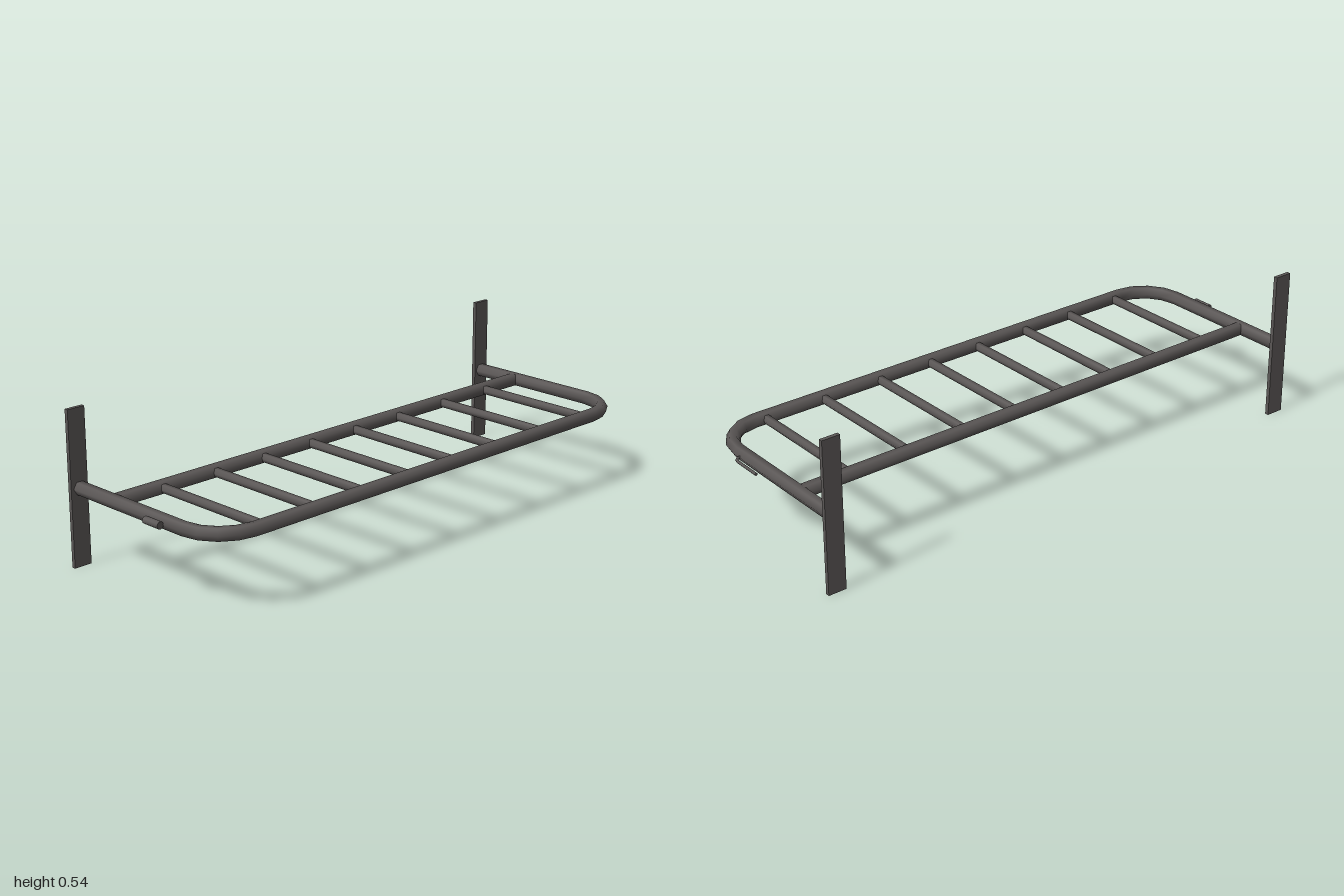
import * as THREE from 'three';

const Y = 0.268; // height of the rack plane

// Sweeps a round section along a flat path of [x, z] points, mitred at the bends
function sweep(path, radius, sides) {
  const pos = [], idx = [];
  const pts = path.map(([x, z]) => new THREE.Vector2(x, z));
  const last = pts.length - 1;
  const dir = (i) => pts[i + 1].clone().sub(pts[i]).normalize();
  pts.forEach((p, i) => {
    const a = dir(Math.max(i - 1, 0)), b = dir(Math.min(i, last - 1));
    const t = a.clone().add(b).normalize();
    const wide = radius / t.dot(a);
    for (let k = 0; k < sides; k++) {
      const ang = (k / sides) * Math.PI * 2;
      const c = Math.cos(ang) * wide;
      pos.push(p.x + t.y * c, Y + Math.sin(ang) * radius, p.y - t.x * c);
    }
  });
  for (let i = 0; i < last; i++) {
    for (let k = 0; k < sides; k++) {
      const n = (k + 1) % sides;
      const a = i * sides + k, b = i * sides + n;
      idx.push(a, b, a + sides, b, b + sides, a + sides);
    }
  }
  // End caps with their own vertices so the rims stay crisp
  for (const end of [0, last]) {
    const base = pos.length / 3;
    for (let k = 0; k < sides; k++) {
      const o = (end * sides + k) * 3;
      pos.push(pos[o], pos[o + 1], pos[o + 2]);
    }
    for (let k = 1; k < sides - 1; k++) {
      if (end) idx.push(base, base + k, base + k + 1);
      else idx.push(base, base + k + 1, base + k);
    }
  }
  const geo = new THREE.BufferGeometry();
  geo.setAttribute('position', new THREE.Float32BufferAttribute(pos, 3));
  geo.setIndex(idx);
  geo.computeVertexNormals();
  return geo;
}

export function createModel() {
  const group = new THREE.Group();
  const steel = new THREE.MeshStandardMaterial({ color: 0x5a5655 });
  steel.name = 'dark steel';
  const add = (name, geo) => {
    const mesh = new THREE.Mesh(geo, steel);
    mesh.name = name;
    group.add(mesh);
    return mesh;
  };

  // U-shaped outer tube with rounded front corners
  const R = 0.15, cx = 0.803, cz = 0.178;
  const half = [[cx + R, -0.34]];
  for (let i = 0; i <= 4; i++) {
    const a = (i / 4) * Math.PI / 2;
    half.push([cx + R * Math.cos(a), cz + R * Math.sin(a)]);
  }
  const mirrored = half.map(([x, z]) => [-x, z]).reverse();
  add('outerFrame', sweep([...half, ...mirrored], 0.024, 6));

  // Rear cross bar
  add('rearBar', sweep([[-0.945, -0.163], [0.945, -0.163]], 0.024, 6));

  // Rungs between the rear bar and the front tube
  [-0.765, -0.545, -0.335, -0.12, 0.09, 0.305, 0.535, 0.765].forEach((x, i) => {
    add('rung' + (i + 1), sweep([[x, -0.16], [x, 0.325]], 0.016, 6));
  });

  // Upright mounting plates
  for (const [name, s] of [['left', 1], ['right', -1]]) {
    const plate = add(name + 'MountingPlate', new THREE.BoxGeometry(0.066, 0.536, 0.014));
    plate.position.set(s * 0.954, 0.268, -0.345);
  }

  // Thin wire hook on the left side, short latch barrel on the right
  add('leftHook', sweep([[0.965, 0.146], [0.983, 0.143], [0.992, 0.134], [0.995, 0.12], [0.995, 0.016]], 0.005, 8));
  add('rightLatchBarrel', sweep([[-0.987, 0.035], [-0.987, 0.107]], 0.013, 10));

  return group;
}
